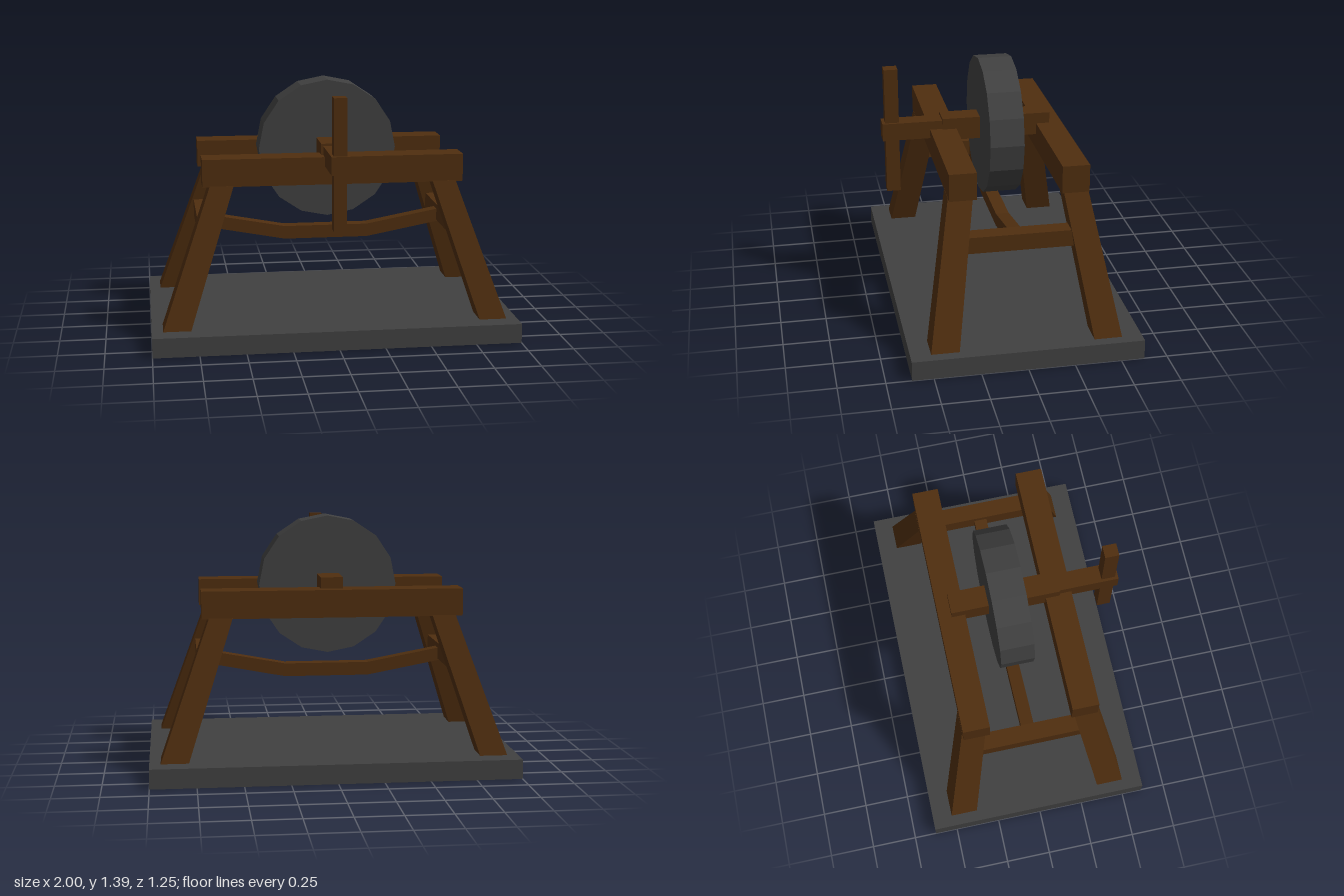
import * as THREE from 'three';

export function createModel() {
  const wood = new THREE.MeshStandardMaterial({ name: 'dark wood', color: 0x4f2e0f });
  const stone = new THREE.MeshStandardMaterial({ name: 'grey stone', color: 0x404040 });
  wood.flatShading = stone.flatShading = true;

  const model = new THREE.Group();
  model.name = 'grindstone';
  const frame = new THREE.Group();
  frame.name = 'frame';
  frame.position.z = -0.006;
  model.add(frame);

  function add(name, geometry, material) {
    const mesh = new THREE.Mesh(geometry, material);
    mesh.name = name;
    frame.add(mesh);
    return mesh;
  }

  // Box given by its limits on each axis
  function block(name, [x0, x1], [y0, y1], [z0, z1], material = wood) {
    const mesh = add(name, new THREE.BoxGeometry(x1 - x0, y1 - y0, z1 - z0), material);
    mesh.position.set((x0 + x1) / 2, (y0 + y1) / 2, (z0 + z1) / 2);
    return mesh;
  }

  // Slanted leg: a box whose ends are moved to separate footprints
  function leg(name, sx, sz) {
    const geometry = new THREE.BoxGeometry(1, 1, 1);
    const p = geometry.attributes.position;
    for (let i = 0; i < p.count; i++) {
      const top = p.getY(i) > 0;
      const x = sx * (top ? 0.607 : 0.865) + p.getX(i) * (top ? 0.128 : 0.15);
      const z = sz * (top ? 0.306 : 0.436) + p.getZ(i) * (top ? 0.132 : 0.15);
      p.setXYZ(i, x, top ? 0.865 : 0.105, z);
    }
    geometry.computeVertexNormals();
    add(name, geometry, wood);
  }

  block('base', [-1, 1], [0, 0.107], [-0.62, 0.62], stone);

  // Top rails, legs and side stretchers
  for (const sz of [1, -1]) {
    const end = sz > 0 ? 'front' : 'back';
    const rail = block(end + 'Rail', [-0.71, 0.71], [0.86, 1.01], [-0.073, 0.073]);
    rail.position.z = sz * 0.298;
    for (const sx of [1, -1]) leg(end + (sx > 0 ? 'LeftLeg' : 'RightLeg'), sx, sz);
  }
  for (const sx of [1, -1]) {
    const stretcher = block(sx > 0 ? 'leftStretcher' : 'rightStretcher',
      [-0.048, 0.048], [0.566, 0.657], [-0.29, 0.29]);
    stretcher.position.x = sx * 0.687;
  }

  // Bent bar hanging under the wheel
  const bar = new THREE.Shape([
    [-0.65, 0.56], [-0.235, 0.482], [0.235, 0.482], [0.65, 0.56],
    [0.65, 0.632], [0.235, 0.555], [-0.235, 0.555], [-0.65, 0.632],
  ].map(([x, y]) => new THREE.Vector2(x, y)));
  add('bentBar', new THREE.ExtrudeGeometry(bar, { depth: 0.072, bevelEnabled: false }), wood)
    .position.z = -0.036;

  // Wheel and its axle
  const wheel = add('wheel', new THREE.CylinderGeometry(0.383, 0.383, 0.186, 16).rotateX(Math.PI / 2), stone);
  wheel.position.y = 1.009;
  block('axle', [-0.061, 0.061], [0.946, 1.071], [-0.3, 0.303]);

  // Crank
  block('crankArm', [-0.05, 0.05], [0.96, 1.058], [0.29, 0.634]);
  block('crankHandle', [-0.035, 0.035], [0.654, 1.364], [0.541, 0.617]);

  return model;
}
